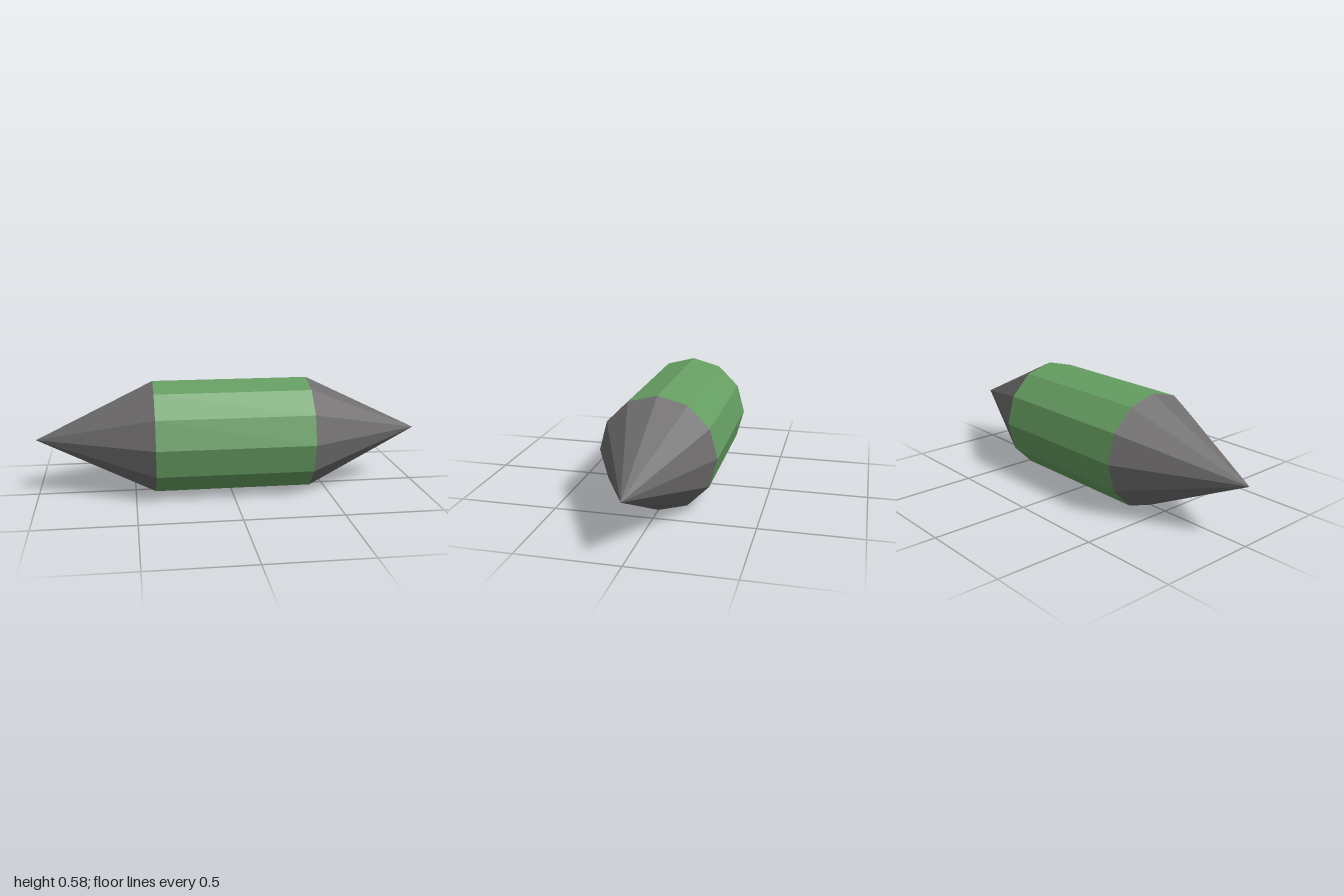
import * as THREE from 'three';

const SIDES = 12;
const RADIUS = 0.292;
const BODY_LENGTH = 0.8;
const TIP_LENGTH = 0.6;

export function createModel() {
  const model = new THREE.Group();
  model.name = 'pointedCapsule';

  const green = new THREE.MeshStandardMaterial({ color: 0x669e62, flatShading: true });
  const grey = new THREE.MeshStandardMaterial({ color: 0x6e6c6c, flatShading: true });

  // Adds a part built along y, turned so that +y points to side * x
  const add = (name, geometry, material, x, side) => {
    const mesh = new THREE.Mesh(geometry, material);
    mesh.name = name;
    mesh.rotation.z = -side * Math.PI / 2;
    mesh.position.set(x, 0.293, 0);
    model.add(mesh);
  };

  // Twelve-sided barrel lying along x
  add('body', new THREE.CylinderGeometry(RADIUS, RADIUS, BODY_LENGTH, SIDES), green, 0, 1);

  // Matching pointed ends
  for (const [name, side] of [['leftTip', 1], ['rightTip', -1]]) {
    const cone = new THREE.ConeGeometry(RADIUS, TIP_LENGTH, SIDES, 1, true);
    add(name, cone, grey, side * (BODY_LENGTH + TIP_LENGTH) / 2, side);
  }

  return model;
}
